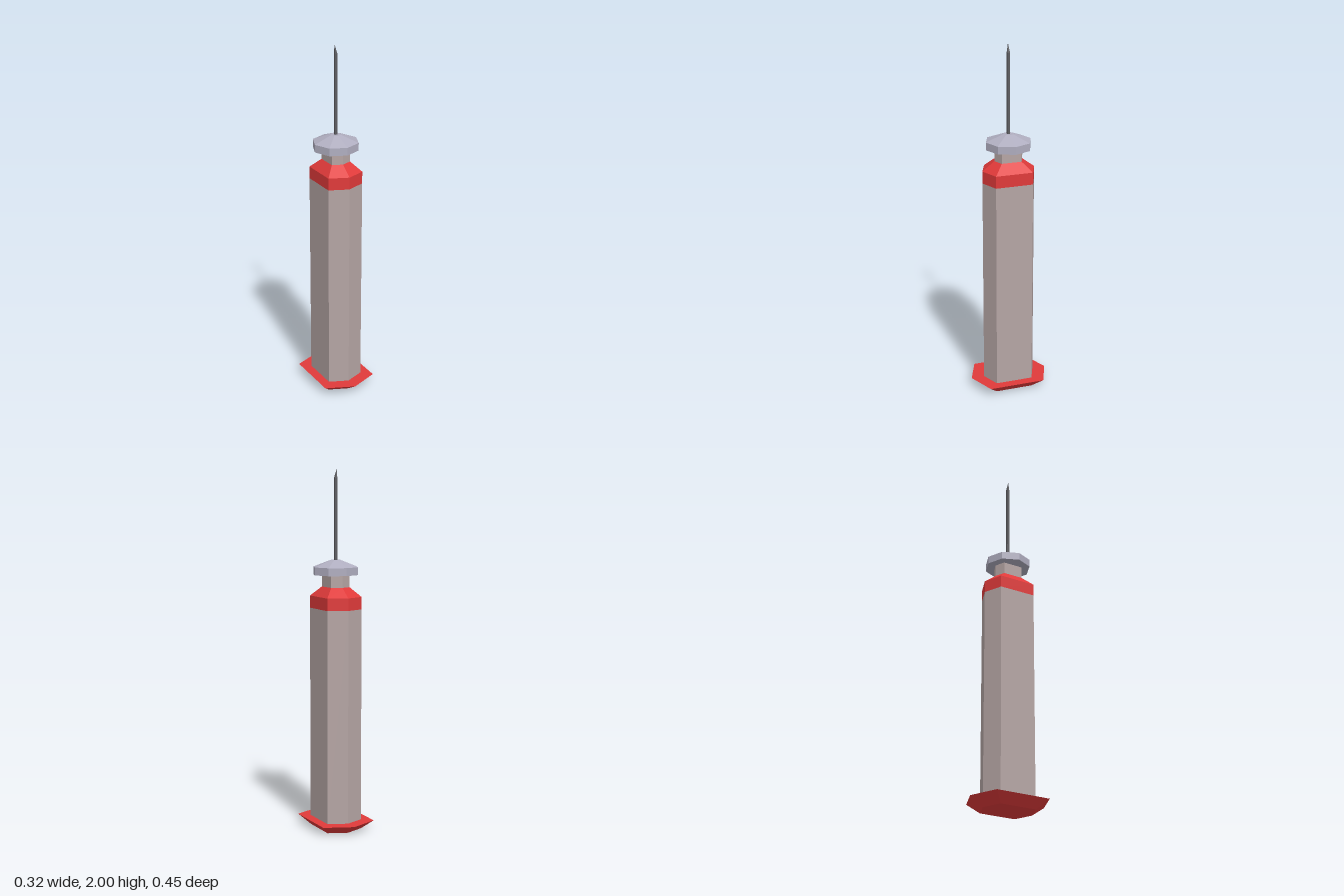
import * as THREE from 'three';

const paint = (name, color) => {
  const m = new THREE.MeshStandardMaterial({ color });
  m.name = name;
  return m;
};

// Corners run anticlockwise seen from above, starting at +z
const polygon = (degrees) => degrees.map((d) => {
  const a = THREE.MathUtils.degToRad(d);
  return [Math.sin(a), Math.cos(a)];
});
const HEX = polygon([0, 45, 135, 180, 225, 315]); // octagon without its side corners
const OCT = polygon([0, 45, 90, 135, 180, 225, 270, 315]);
const SQUARE = [[1, 1], [1, -1], [-1, -1], [-1, 1]];

// Faceted solid through rings of [y, radius, x shift], closed at both ends if capped
function loft(name, corners, rings, material, bottom = true, top = true) {
  const pos = [];
  const n = corners.length;
  const at = ([y, r, shift = 0], i) => {
    const [x, z] = corners[i % n];
    return new THREE.Vector3(x * r + shift, y, z * r);
  };
  const tri = (a, b, c) => {
    if (new THREE.Triangle(a, b, c).getArea() < 1e-9) return;
    for (const p of [a, b, c]) pos.push(p.x, p.y, p.z);
  };
  const centre = ([y, , shift = 0]) => new THREE.Vector3(shift, y, 0);
  const first = rings[0], last = rings[rings.length - 1];
  for (let i = 0; i < n; i++) {
    for (let k = 0; k < rings.length - 1; k++) {
      const a = at(rings[k], i), b = at(rings[k], i + 1);
      const c = at(rings[k + 1], i + 1), d = at(rings[k + 1], i);
      tri(a, b, c);
      tri(a, c, d);
    }
    if (bottom) tri(centre(first), at(first, i + 1), at(first, i));
    if (top) tri(centre(last), at(last, i), at(last, i + 1));
  }
  const geometry = new THREE.BufferGeometry();
  geometry.setAttribute('position', new THREE.Float32BufferAttribute(pos, 3));
  geometry.computeVertexNormals();
  const mesh = new THREE.Mesh(geometry, material);
  mesh.name = name;
  return mesh;
}

export function createModel() {
  const red = paint('red', 0xe03a3a);
  const warmGrey = paint('warm grey', 0xb5a5a4);
  const steel = paint('pale steel', 0xb0aec0);
  const dark = paint('dark steel', 0x5c5c60);

  const group = new THREE.Group();
  group.name = 'syringe';
  group.add(
    // Flared foot
    loft('baseFlange', HEX, [[0, 0.149], [0.052, 0.224]], red),
    // Long barrel
    loft('barrel', HEX, [[0.052, 0.149], [1.238, 0.149]], warmGrey, false, false),
    // Red shoulder with a sloped top
    loft('shoulder', HEX, [[1.238, 0.149], [1.306, 0.149], [1.358, 0.08]], red, false, true),
    loft('neck', HEX, [[1.358, 0.08], [1.425, 0.08]], warmGrey, false, false),
    // Eight-sided hub
    loft('hub', OCT, [[1.425, 0.128], [1.468, 0.128], [1.506, 0.029]], steel),
    // Needle with a bevelled point
    loft('needle', SQUARE, [[1.5, 0.007], [1.95, 0.007], [2, 0, -0.007]], dark, false, false),
  );
  return group;
}
